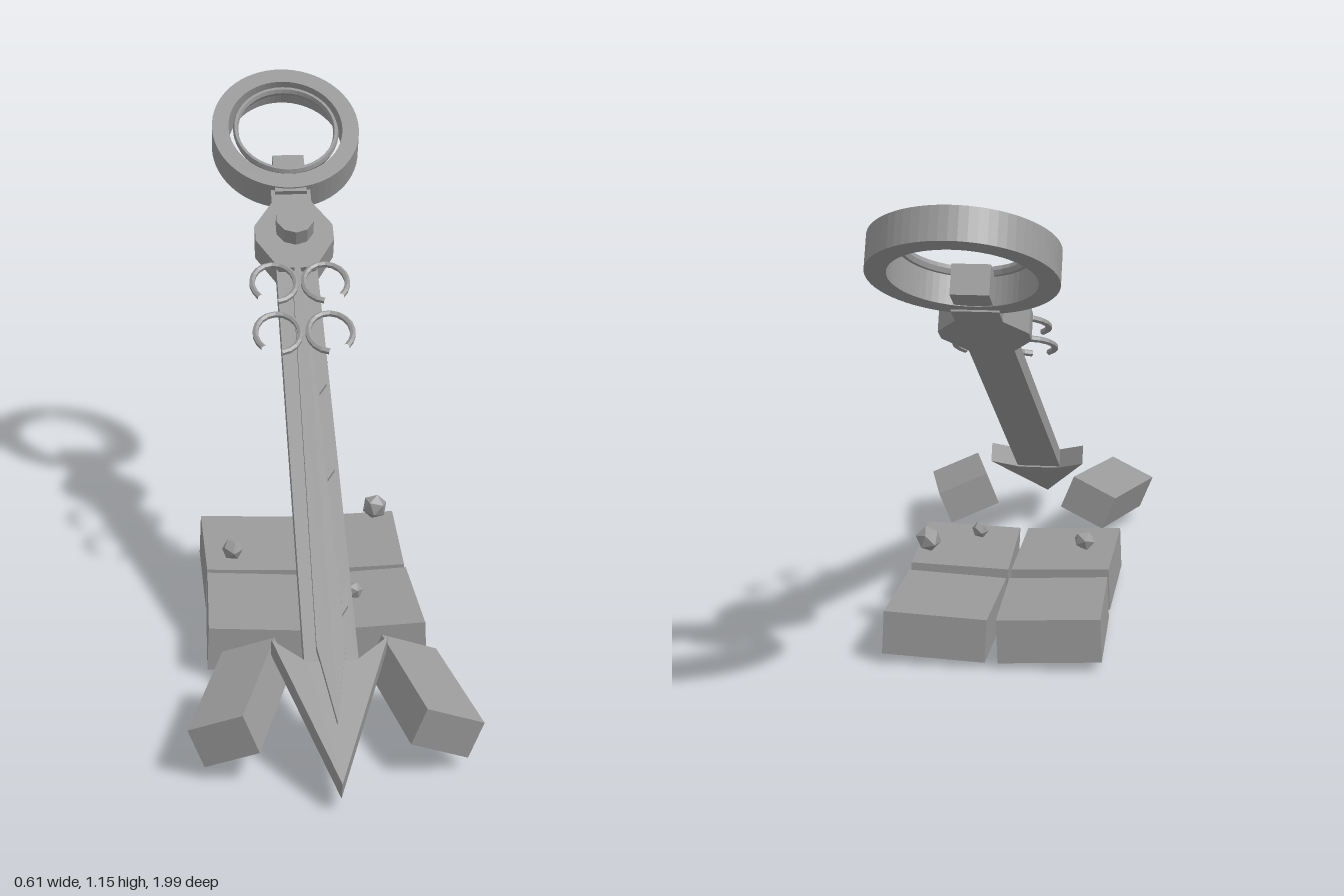
import * as THREE from 'three';

const grey = new THREE.MeshStandardMaterial({ color: 0x999999, flatShading: true });
grey.name = 'stoneGrey';

function add(parent, name, geometry, position = [0, 0, 0], rotation = [0, 0, 0]) {
  const mesh = new THREE.Mesh(geometry, grey);
  mesh.name = name;
  mesh.position.set(...position);
  mesh.rotation.set(...rotation);
  parent.add(mesh);
  return mesh;
}

// Plate cut from an outline, lying between the heights w0 and w1
function plate(shape, w0, w1) {
  const g = new THREE.ExtrudeGeometry(shape, { depth: w1 - w0, bevelEnabled: false, curveSegments: 32 });
  return g.translate(0, 0, w0);
}

// Symmetric outline from [halfWidth, along] points listed upwards on the right side
function symmetric(points) {
  const right = points.map(([x, y]) => new THREE.Vector2(x, y));
  const left = points.filter(([x]) => x > 0).reverse().map(([x, y]) => new THREE.Vector2(-x, y));
  return new THREE.Shape([...right, ...left]);
}

function buildSword() {
  // Local y runs from tip to ring, local z is the upper face
  const sword = new THREE.Group();
  sword.name = 'sword';

  add(sword, 'arrowTip', plate(symmetric([[0, 0], [0.122, 0.36], [0.05, 0.3]]), -0.004, 0.046));
  add(sword, 'blade', plate(symmetric([[0.057, 0.25], [0.05, 1.54]]), 0, 0.042));
  add(sword, 'ridge', plate(symmetric([[0, 0.14], [0.03, 0.33], [0.014, 1.42], [0, 1.54]]), 0.04, 0.058));
  add(sword, 'guard', plate(symmetric([[0.045, 1.48], [0.097, 1.58], [0.097, 1.635],
    [0.05, 1.72], [0.05, 1.79]]), -0.004, 0.056));

  // Slanted cuts beside the ridge
  for (const y of [0.46, 0.845, 1.11]) {
    const cut = new THREE.Shape([[0.026, -0.05], [0.044, -0.02], [0.052, 0.05], [0.034, 0.02]]
      .map(([x, dy]) => new THREE.Vector2(x, y + dy)));
    add(sword, 'bladeMark', plate(cut, 0.04, 0.052));
  }

  // Oval ring pommel with a fine inner hoop and a small block
  const ring = new THREE.Shape().absellipse(0, 2.0, 0.191, 0.24, 0, Math.PI * 2);
  ring.holes.push(new THREE.Path().absellipse(0, 2.0, 0.148, 0.187, 0, Math.PI * 2));
  add(sword, 'pommelRing', plate(ring, 0, 0.07));
  const hoop = add(sword, 'innerHoop', new THREE.TorusGeometry(0.13, 0.007, 6, 40), [0, 1.985, 0.07]);
  hoop.scale.set(1, 1.25, 1.6);
  add(sword, 'ringBlock', new THREE.BoxGeometry(0.08, 0.14, 0.065), [0, 1.82, 0.034]);

  // Oval stud over the guard
  const stud = add(sword, 'guardStud', new THREE.CylinderGeometry(0.048, 0.048, 0.04, 10),
    [0, 1.607, 0.088], [Math.PI / 2, 0, 0]);
  stud.scale.z = 1.22;

  // Two mirrored pairs of open hooks
  for (const y of [1.4, 1.229]) {
    for (const side of [-1, 1]) {
      const points = [];
      for (let i = 0; i <= 12; i++) {
        const a = THREE.MathUtils.degToRad(228 - i * 26);
        points.push(new THREE.Vector3(-side * Math.cos(a) * -0.053, Math.sin(a) * 0.064, 0));
        points[i].x = side * -Math.cos(a) * 0.053;
      }
      const curve = new THREE.CatmullRomCurve3(points);
      add(sword, 'hook', new THREE.TubeGeometry(curve, 16, 0.0075, 6), [side * 0.062, y, 0.08]);
    }
  }

  const tilt = THREE.MathUtils.degToRad(28.5);
  sword.position.set(0, 0.025, 0.97);
  sword.rotation.x = tilt - Math.PI / 2;
  return sword;
}

export function createModel() {
  const model = new THREE.Group();
  model.name = 'swordInStones';
  model.add(buildSword());

  // Four slightly tilted ground slabs
  for (const sx of [-1, 1]) {
    for (const sz of [-1, 1]) {
      add(model, 'groundSlab', new THREE.BoxGeometry(0.234, 0.1, 0.325),
        [sx * 0.126, 0.063, sz * 0.183],
        [sz < 0 ? 0.04 : 0, sx * sz * 0.02, sx * 0.045]);
    }
  }

  // Toppled blocks either side of the tip
  add(model, 'leftBlock', new THREE.BoxGeometry(0.135, 0.085, 0.31),
    [0.198, 0.107, 0.69], [0.1, 0.2, -0.4]);
  add(model, 'rightBlock', new THREE.BoxGeometry(0.125, 0.09, 0.32),
    [-0.188, 0.107, 0.69], [0.1, -0.26, 0.4]);

  // Floating pebbles
  const pebbles = [[0.175, 0.225, -0.115, 0.031], [-0.178, 0.185, 0.038, 0.026], [0.095, 0.145, 0.21, 0.021]];
  for (const [x, y, z, r] of pebbles) {
    add(model, 'pebble', new THREE.IcosahedronGeometry(r, 0), [x, y, z], [0.3, x * 5, 0.2]);
  }
  return model;
}
